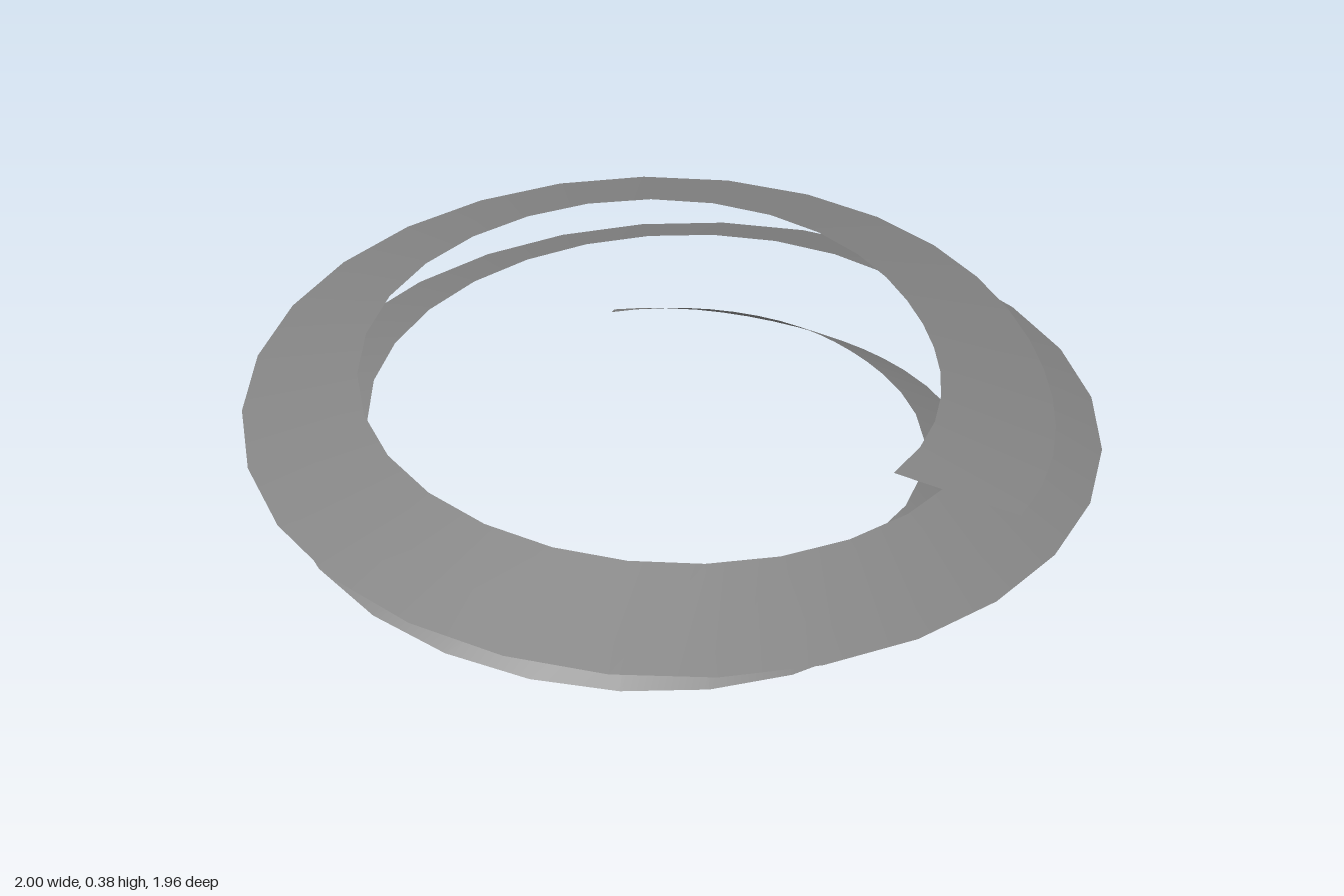
import * as THREE from 'three';

// Spiral edge: keys of [angle in degrees from the back, radius, height]
const edge = keys => new THREE.CatmullRomCurve3(
  keys.map(k => new THREE.Vector3(...k)), false, 'catmullrom');

const innerEdge = edge([
  [3, 0.63, 0.075], [45, 0.596, 0.097], [90, 0.578, 0.115], [180, 0.64, 0.155],
  [270, 0.71, 0.193], [360, 0.735, 0.225], [450, 0.745, 0.253], [540, 0.722, 0.28],
  [630, 0.73, 0.323], [720, 0.712, 0.357], [810, 0.58, 0.374], [876.5, 0.703, 0.38],
]);
const outerEdge = edge([
  [6, 0.76, 0], [45, 0.71, 0.014], [90, 0.71, 0.042], [180, 0.812, 0.03],
  [270, 0.928, 0.085], [360, 0.968, 0.125], [450, 1.0, 0.155], [540, 0.978, 0.19],
  [630, 1.0, 0.236], [720, 0.98, 0.275], [810, 0.847, 0.30], [866.5, 0.94, 0.31],
]);

function edgePoint(curve, t) {
  const p = curve.getPoint(t);
  const a = THREE.MathUtils.degToRad(p.x);
  return [p.y * Math.sin(a), p.z, -p.y * Math.cos(a)];
}

// Thin sloping strip stretched between the two spiral edges
function ribbonGeometry(segments) {
  const positions = [], index = [];
  for (let i = 0; i <= segments; i++) {
    const t = i / segments;
    positions.push(...edgePoint(innerEdge, t), ...edgePoint(outerEdge, t));
    if (i < segments) {
      const a = 2 * i;
      index.push(a, a + 2, a + 3, a, a + 3, a + 1);
    }
  }
  const geometry = new THREE.BufferGeometry();
  geometry.setAttribute('position', new THREE.Float32BufferAttribute(positions, 3));
  geometry.setIndex(index);
  geometry.computeVertexNormals();
  return geometry;
}

export function createModel() {
  const group = new THREE.Group();
  group.name = 'spiralCoil';
  const material = new THREE.MeshStandardMaterial({ color: 0x858585, side: THREE.DoubleSide });
  const ribbon = new THREE.Mesh(ribbonGeometry(77), material);
  ribbon.name = 'spiralRibbon';
  group.add(ribbon);
  return group;
}
